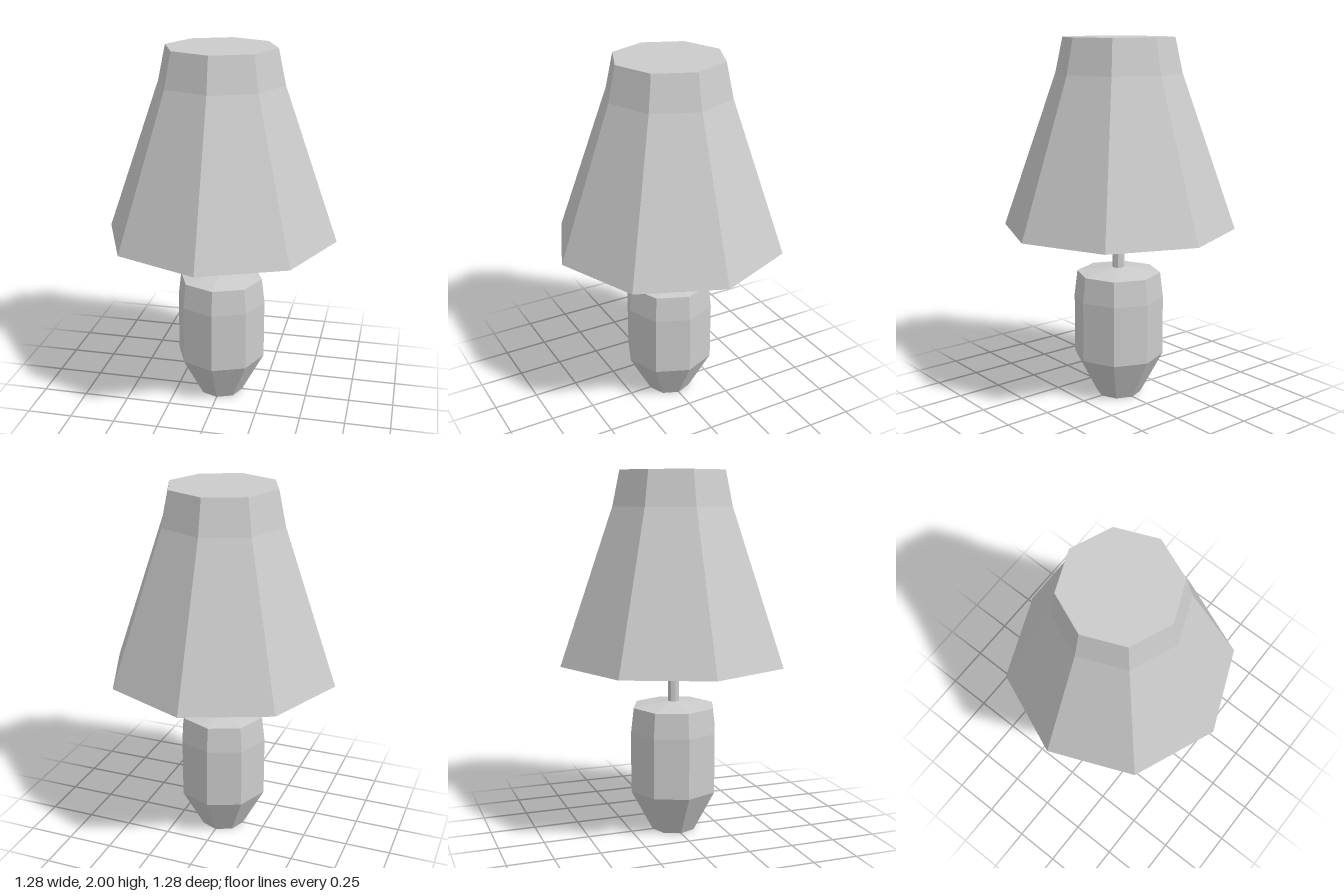
import * as THREE from 'three';

const material = new THREE.MeshStandardMaterial({ color: 0xcccccc, flatShading: true });

// Eight-sided turned part from a profile of [radius, height] pairs, traced bottom to top on the outside
function turned(name, profile) {
  const points = profile.map(([r, y]) => new THREE.Vector2(r, y));
  const mesh = new THREE.Mesh(new THREE.LatheGeometry(points, 8), material);
  mesh.name = name;
  return mesh;
}

export function createModel() {
  const lamp = new THREE.Group();
  lamp.name = 'tableLamp';

  // Faceted vase-shaped base with a shallow sloped top
  lamp.add(turned('base', [
    [0, 0], [0.125, 0], [0.25, 0.235], [0.25, 0.57], [0.233, 0.71], [0.033, 0.737],
  ]));

  // Thin rod between base and socket
  lamp.add(turned('stem', [[0.033, 0.735], [0.033, 0.972]]));

  // Tapered bulb socket under the shade's ceiling
  lamp.add(turned('socket', [[0, 0.972], [0.07, 0.972], [0.042, 1.36]]));

  // Closed shade: inner ceiling, inner wall, rim, flared outside, flat top
  lamp.add(turned('shade', [
    [0, 1.36], [0.37, 1.36], [0.6, 0.968], [0.64, 0.968], [0.343, 1.81], [0.302, 2], [0, 2],
  ]));

  return lamp;
}
